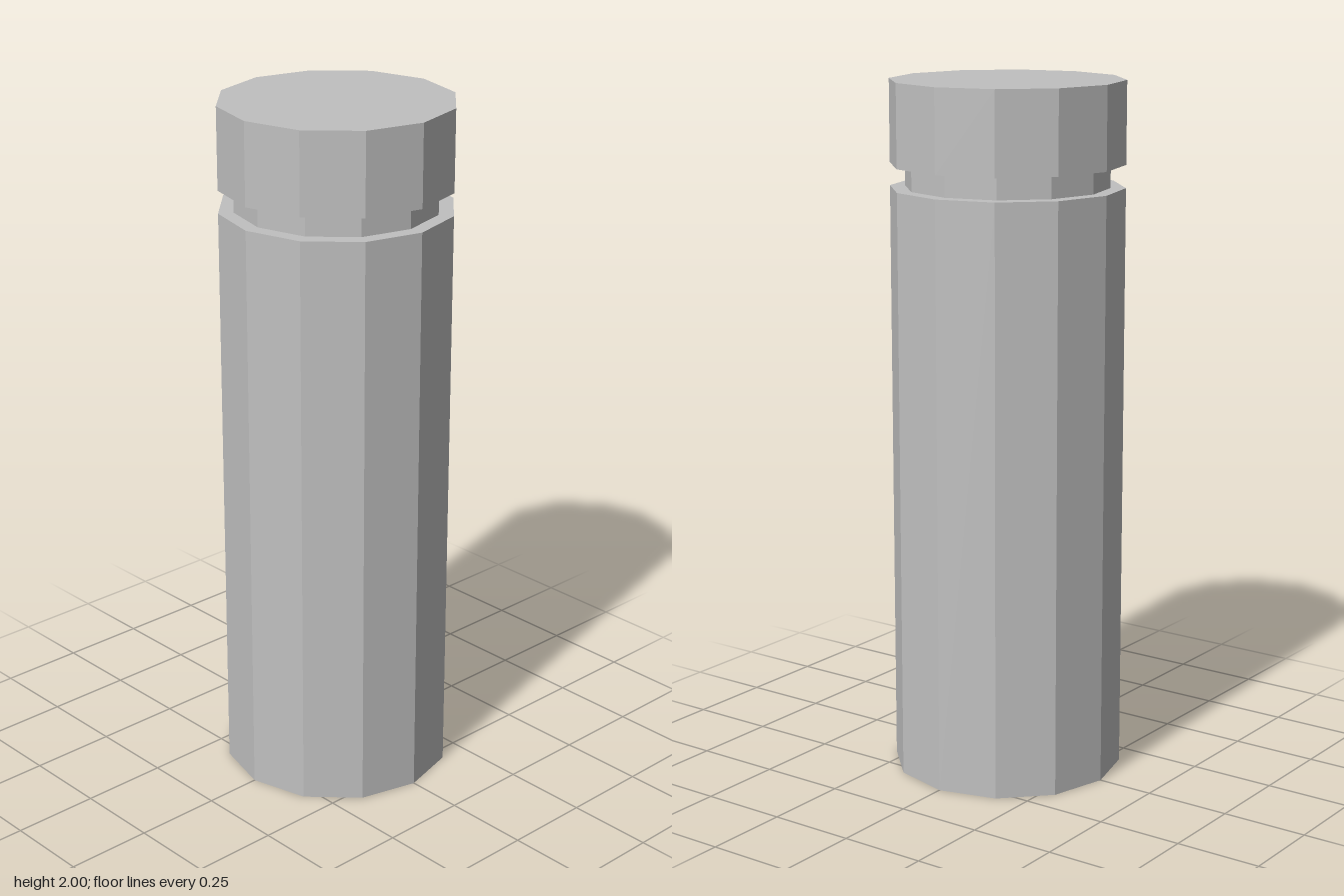
import * as THREE from 'three';

const SIDES = 12;

export function createModel() {
  const group = new THREE.Group();
  const grey = new THREE.MeshStandardMaterial({ color: 0xc0c0c0, flatShading: true });
  grey.name = 'light grey';

  // Upright twelve-sided prism between two heights, with a corner facing the front
  function addPrism(name, radius, bottom, top, openEnded = false) {
    const geometry = new THREE.CylinderGeometry(radius, radius, top - bottom, SIDES, 1, openEnded);
    const mesh = new THREE.Mesh(geometry, grey);
    mesh.name = name;
    mesh.position.y = (bottom + top) / 2;
    group.add(mesh);
  }

  addPrism('body', 0.333, 0, 1.7);
  addPrism('neck', 0.29, 1.7, 1.765, true); // recessed groove between body and cap
  addPrism('cap', 0.333, 1.765, 2);

  return group;
}
